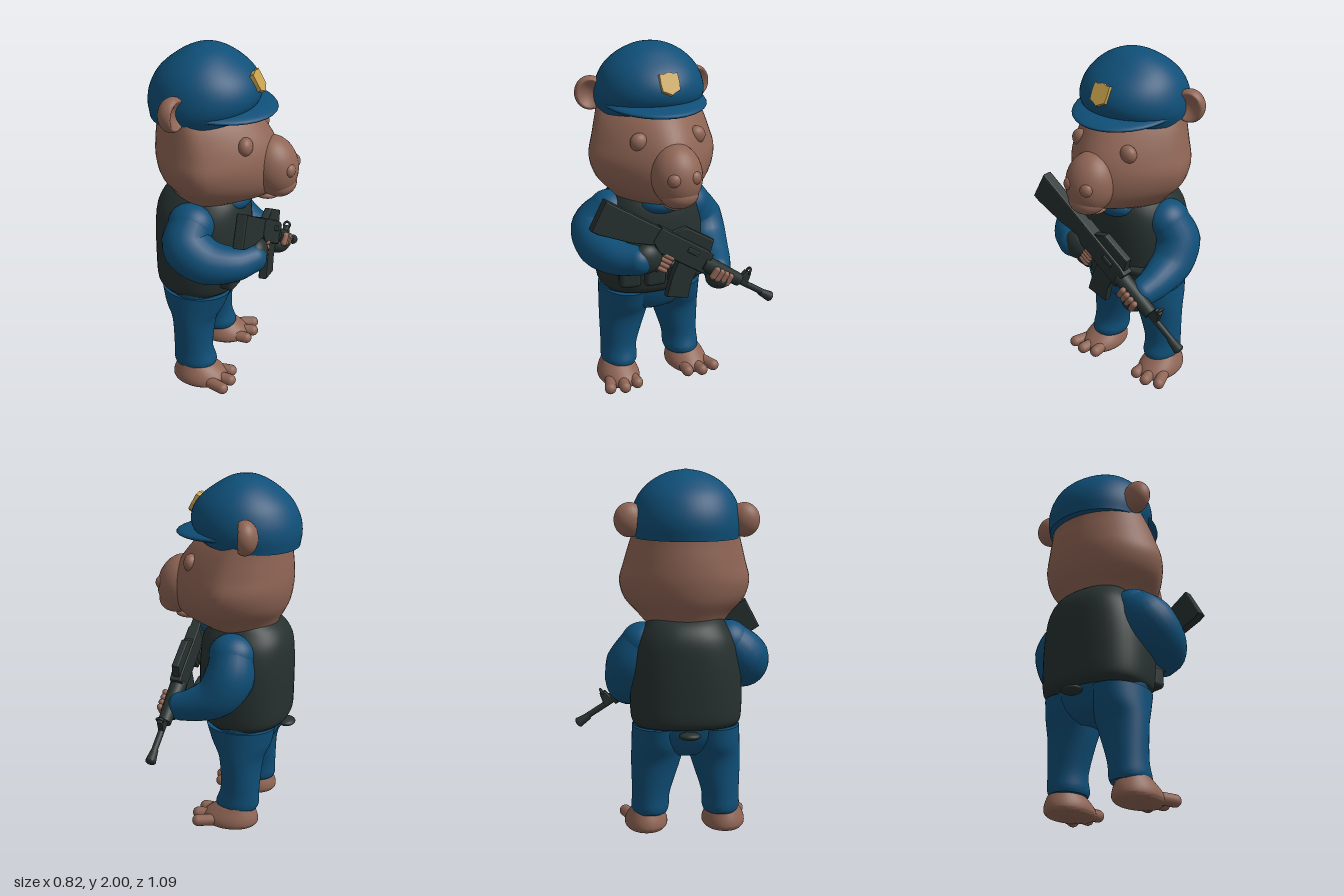
import * as THREE from 'three';
import { toCreasedNormals } from 'three/addons/utils/BufferGeometryUtils.js';
import { RoundedBoxGeometry } from 'three/addons/geometries/RoundedBoxGeometry.js';

const paint = (name, color) => {
  const m = new THREE.MeshStandardMaterial({ color });
  m.name = name;
  return m;
};

export function createModel() {
  const blue = paint('uniform blue', 0x0f4f78);
  const brown = paint('brown fur', 0x8f6555);
  const dark = paint('dark gear', 0x26312f);
  const gold = paint('badge gold', 0xc8a24e);

  const root = new THREE.Group();
  root.name = 'capybaraOfficer';
  const body = new THREE.Group(); // body axis sits slightly off centre
  body.name = 'body';
  body.position.z = 0.07;
  root.add(body);

  const add = (parent, name, geo, mat, pos = [0, 0, 0], rot = [0, 0, 0]) => {
    const m = new THREE.Mesh(geo, mat);
    m.name = name;
    m.position.set(...pos);
    m.rotation.set(...rot);
    parent.add(m);
    return m;
  };
  const ellipsoid = (rx, ry, rz) => new THREE.SphereGeometry(1, 32, 20).scale(rx, ry, rz);

  // Upright loft; each section is [y, back x, front x, half width, centre z]
  const loft = (secs, { square = 1, taper = 0, tilt = 0, side = 1 } = {}) => {
    const spans = new THREE.CatmullRomCurve3(secs.map(s => new THREE.Vector3(s[0], s[1], s[2])), false, 'catmullrom');
    const widths = new THREE.CatmullRomCurve3(secs.map(s => new THREE.Vector3(s[3], s[4] || 0, 0)), false, 'catmullrom');
    const geo = new THREE.CylinderGeometry(1, 1, 1, 48, (secs.length - 1) * 5);
    const p = geo.attributes.position;
    const bend = v => Math.sign(v) * Math.abs(v) ** square;
    for (let i = 0; i < p.count; i++) {
      const t = Math.min(1, Math.max(0, p.getY(i) + 0.5));
      const a = spans.getPoint(t), w = widths.getPoint(t);
      const c = p.getX(i), s = p.getZ(i);
      const x = (a.y + a.z) / 2 + (a.z - a.y) / 2 * bend(c);
      p.setXYZ(i, x, a.x + tilt * (x + 0.4) * (1 - t),
        side * w.y + w.x * bend(s) * (1 - taper * Math.max(c, 0)));
    }
    return toCreasedNormals(geo, 1);
  };

  // Tube whose radius follows a list
  const limb = (pts, radii) => {
    const curve = new THREE.CatmullRomCurve3(pts.map(q => new THREE.Vector3(...q)));
    const n = 28, m = 24;
    const geo = new THREE.TubeGeometry(curve, n, 1, m);
    const p = geo.attributes.position, v = new THREE.Vector3();
    for (let i = 0; i <= n; i++) {
      const c = curve.getPointAt(i / n);
      const f = i / n * (radii.length - 1), k = Math.min(radii.length - 2, Math.floor(f));
      const r = THREE.MathUtils.lerp(radii[k], radii[k + 1], f - k);
      for (let j = 0; j <= m; j++) {
        const id = i * (m + 1) + j;
        v.fromBufferAttribute(p, id).sub(c).multiplyScalar(r).add(c);
        p.setXYZ(id, v.x, v.y, v.z);
      }
    }
    return geo;
  };

  // Head, muzzle and mouth
  add(body, 'head', loft([
    [1.12, -0.26, 0.06, 0.16], [1.17, -0.29, 0.18, 0.22], [1.22, -0.315, 0.27, 0.265],
    [1.3, -0.355, 0.3, 0.335], [1.4, -0.375, 0.3, 0.362], [1.5, -0.375, 0.27, 0.338],
    [1.6, -0.365, 0.2, 0.31], [1.68, -0.36, 0.12, 0.285],
  ], { taper: 0.35 }), brown);
  add(body, 'muzzle', ellipsoid(0.135, 0.17, 0.14), brown, [0.265, 1.36, 0], [0, 0, 0.25]);
  add(body, 'upperLip', ellipsoid(0.095, 0.075, 0.105), brown, [0.3, 1.265, 0]);
  add(body, 'lowerLip', ellipsoid(0.07, 0.025, 0.055), brown, [0.23, 1.185, 0]);
  for (const side of [1, -1]) {
    add(body, 'nostrilWing', ellipsoid(0.035, 0.04, 0.04), brown, [0.365, 1.37, side * 0.055]);
    add(body, 'browRidge', ellipsoid(0.04, 0.05, 0.05), brown, [0.155, 1.53, side * 0.165]);
    // Ear with a scooped front
    const ear = new THREE.SphereGeometry(1, 32, 24);
    const p = ear.attributes.position;
    for (let i = 0; i < p.count; i++) {
      const r2 = p.getY(i) ** 2 + p.getZ(i) ** 2;
      if (p.getX(i) > 0) p.setX(i, p.getX(i) - 0.95 * Math.max(0, 1 - r2 * 1.4));
    }
    ear.scale(0.07, 0.093, 0.085);
    ear.computeVertexNormals();
    add(body, 'ear', ear, brown, [-0.185, 1.73, side * 0.31], [0, -side * 0.25, 0]);
  }

  // Cap with brim and badge
  add(body, 'capDome', loft([
    [1.62, -0.405, 0.13, 0.285], [1.7, -0.415, 0.185, 0.3], [1.78, -0.4, 0.185, 0.29],
    [1.86, -0.355, 0.14, 0.255], [1.93, -0.275, 0.06, 0.19], [1.98, -0.19, -0.02, 0.1], [2.0, -0.12, -0.1, 0.01],
  ], { tilt: 0.06 }), blue);
  add(body, 'capBrim', ellipsoid(0.34, 0.04, 0.285), blue, [-0.06, 1.695, 0], [0, 0, -0.05]);
  const shield = new THREE.Shape();
  [[0, 0.062], [0.03, 0.052], [0.05, 0.055], [0.052, 0], [0.048, -0.038], [0.02, -0.05], [0, -0.062]]
    .forEach(([x, y], i) => i ? shield.lineTo(x, y) : shield.moveTo(x, y));
  [[-0.02, -0.05], [-0.048, -0.038], [-0.052, 0], [-0.05, 0.055], [-0.03, 0.052]].forEach(q => shield.lineTo(...q));
  const badge = new THREE.ExtrudeGeometry(shield, { depth: 0.035, bevelEnabled: false }).rotateY(Math.PI / 2);
  add(body, 'badge', badge, gold, [0.156, 1.817, 0], [0, 0, 0.5]);

  // Vest, collar, pouches and rear tab
  add(body, 'vest', loft([
    [0.61, -0.355, 0.09, 0.285], [0.65, -0.38, 0.12, 0.305], [0.78, -0.385, 0.135, 0.31], [0.95, -0.385, 0.135, 0.3],
    [1.08, -0.375, 0.125, 0.27], [1.16, -0.335, 0.095, 0.225], [1.21, -0.27, 0.02, 0.19],
  ], { square: 0.85 }), dark);
  add(body, 'shirtCollar', ellipsoid(0.1, 0.07, 0.13), blue, [0.05, 1.14, 0]);
  for (let i = 0; i < 4; i++) {
    const z = (i - 1.5) * 0.135;
    add(body, 'pouch', new RoundedBoxGeometry(0.09, 0.13, 0.12, 3, 0.025), dark,
      [0.125 - Math.abs(z) * 0.2, 0.74, z], [0, -z, 0]);
    add(body, 'pouchFlap', new RoundedBoxGeometry(0.1, 0.04, 0.125, 3, 0.015), dark,
      [0.128 - Math.abs(z) * 0.2, 0.79, z], [0, -z, 0]);
  }
  add(body, 'rearTab', ellipsoid(0.05, 0.022, 0.06), dark, [-0.36, 0.58, 0]);

  // Trousers and feet
  add(body, 'hips', loft([
    [0.44, -0.23, -0.04, 0.12], [0.48, -0.28, 0.02, 0.22], [0.54, -0.315, 0.055, 0.285], [0.64, -0.34, 0.09, 0.295],
  ]), blue);
  for (const side of [1, -1]) {
    add(body, 'trouserLeg', loft([
      [0.1, -0.24, -0.01, 0.095, 0.2], [0.13, -0.25, 0, 0.105, 0.2], [0.22, -0.25, -0.025, 0.107, 0.195],
      [0.4, -0.265, -0.01, 0.138, 0.168], [0.5, -0.305, 0.035, 0.148, 0.155], [0.6, -0.325, 0.07, 0.15, 0.15],
    ], { side }), blue);
    add(body, 'foot', loft([
      [0, -0.235, 0.06, 0.105], [0.02, -0.25, 0.08, 0.12], [0.06, -0.245, 0.06, 0.115], [0.12, -0.22, -0.02, 0.085],
    ]), brown, [0, 0, side * 0.22], [0, 0, 0]);
    for (let i = -1; i <= 1; i++) {
      const toe = new THREE.CapsuleGeometry(0.034, 0.09, 6, 14).rotateZ(Math.PI / 2);
      add(body, 'toe', toe, brown, [0.055 - Math.abs(i) * 0.02, 0.034, side * 0.24 + i * 0.075],
        [0, -side * 0.15 - i * 0.2, 0]);
    }
  }

  // Arms and gloves: one bent high at the grip, one low at the handguard
  const sleeve = [0.12, 0.14, 0.125, 0.1, 0.08];
  const arms = [
    [[-0.12, 1.06, 0.24], [-0.12, 0.98, 0.32], [-0.02, 0.91, 0.34], [0.12, 0.88, 0.29], [0.21, 0.88, 0.2]],
    [[-0.1, 1.05, -0.24], [-0.1, 0.94, -0.3], [-0.03, 0.83, -0.32], [0.1, 0.76, -0.31], [0.18, 0.73, -0.29]],
  ];
  for (const path of arms) {
    add(body, 'sleeve', limb(path, sleeve), blue);
    add(body, 'shoulder', ellipsoid(0.13, 0.12, 0.12), blue, path[0]);
    add(body, 'cuff', ellipsoid(0.08, 0.08, 0.08), blue, path[4]);
  }
  add(body, 'gripGlove', ellipsoid(0.06, 0.085, 0.085), dark, [0.225, 0.89, 0.155]);
  add(body, 'supportGlove', ellipsoid(0.075, 0.06, 0.075), dark, [0.235, 0.7, -0.275]);

  // Rifle: local x toward the muzzle, y up, z outward
  const rifle = new THREE.Group();
  rifle.name = 'rifle';
  const along = new THREE.Vector3(0.042, -0.545, -0.838).normalize();
  const out = new THREE.Vector3(1, 0, 0).addScaledVector(along, -along.x).normalize();
  const up = new THREE.Vector3().crossVectors(out, along);
  rifle.quaternion.setFromRotationMatrix(new THREE.Matrix4().makeBasis(along, up, out));
  rifle.position.set(0.231, 0.845, 0);
  root.add(rifle);

  const plate = (name, pts, depth) => {
    const s = new THREE.Shape(pts.map(q => new THREE.Vector2(...q)));
    const g = new THREE.ExtrudeGeometry(s, { depth: depth - 0.02, bevelSize: 0.008, bevelThickness: 0.01, bevelSegments: 2 });
    return add(rifle, name, g.translate(0, 0, 0.01 - depth / 2), dark);
  };
  plate('stock', [[-0.6, 0.095], [-0.585, -0.07], [-0.55, -0.07], [-0.36, -0.035], [-0.2, 0.02], [-0.2, 0.095]], 0.062);
  plate('receiver', [[-0.24, 0.1], [-0.24, 0.02], [-0.18, -0.015], [0.12, -0.015], [0.12, 0.09], [0.08, 0.1]], 0.072);
  plate('carryHandle', [[-0.16, 0.1], [-0.1, 0.16], [0.08, 0.165], [0.1, 0.1]], 0.045);
  plate('magazine', [[-0.04, 0], [0.08, 0], [0.09, -0.1], [0.12, -0.18], [0.01, -0.22], [-0.025, -0.1]], 0.05);
  plate('pistolGrip', [[-0.19, 0], [-0.1, 0], [-0.13, -0.12], [-0.19, -0.11]], 0.045);
  plate('frontSight', [[0.37, 0.03], [0.385, 0.09], [0.41, 0.09], [0.425, 0.03]], 0.035);
  const rod = (name, r0, r1, len, x, y) =>
    add(rifle, name, new THREE.CylinderGeometry(r1, r0, len, 24).rotateZ(-Math.PI / 2), dark, [x, y, 0]);
  rod('handguard', 0.048, 0.038, 0.27, 0.235, 0.03);
  rod('barrel', 0.018, 0.018, 0.27, 0.49, 0.025);
  rod('muzzleDevice', 0.02, 0.03, 0.075, 0.58, 0.02);
  add(rifle, 'muzzleTip', ellipsoid(0.014, 0.029, 0.029), dark, [0.617, 0.02, 0]);
  add(rifle, 'ejectionPort', new RoundedBoxGeometry(0.075, 0.03, 0.015, 2, 0.006), dark, [0, 0.065, 0.036]);
  add(rifle, 'sightRing', new THREE.TorusGeometry(0.018, 0.007, 8, 20), dark, [0.4, 0.1, 0], [0, Math.PI / 2, 0]);

  // Bare fingers wrapped over the handguard and the grip
  for (let i = 0; i < 4; i++) {
    add(rifle, 'supportFinger', new THREE.CapsuleGeometry(0.019, 0.045, 5, 12), brown, [0.18 + i * 0.033, 0.012, 0.052], [0.1, 0, 0]);
    add(rifle, 'gripFinger', new THREE.CapsuleGeometry(0.015, 0.045, 5, 12).rotateZ(Math.PI / 2), brown, [-0.115, -0.02 - i * 0.026, 0.025]);
  }
  return root;
}
